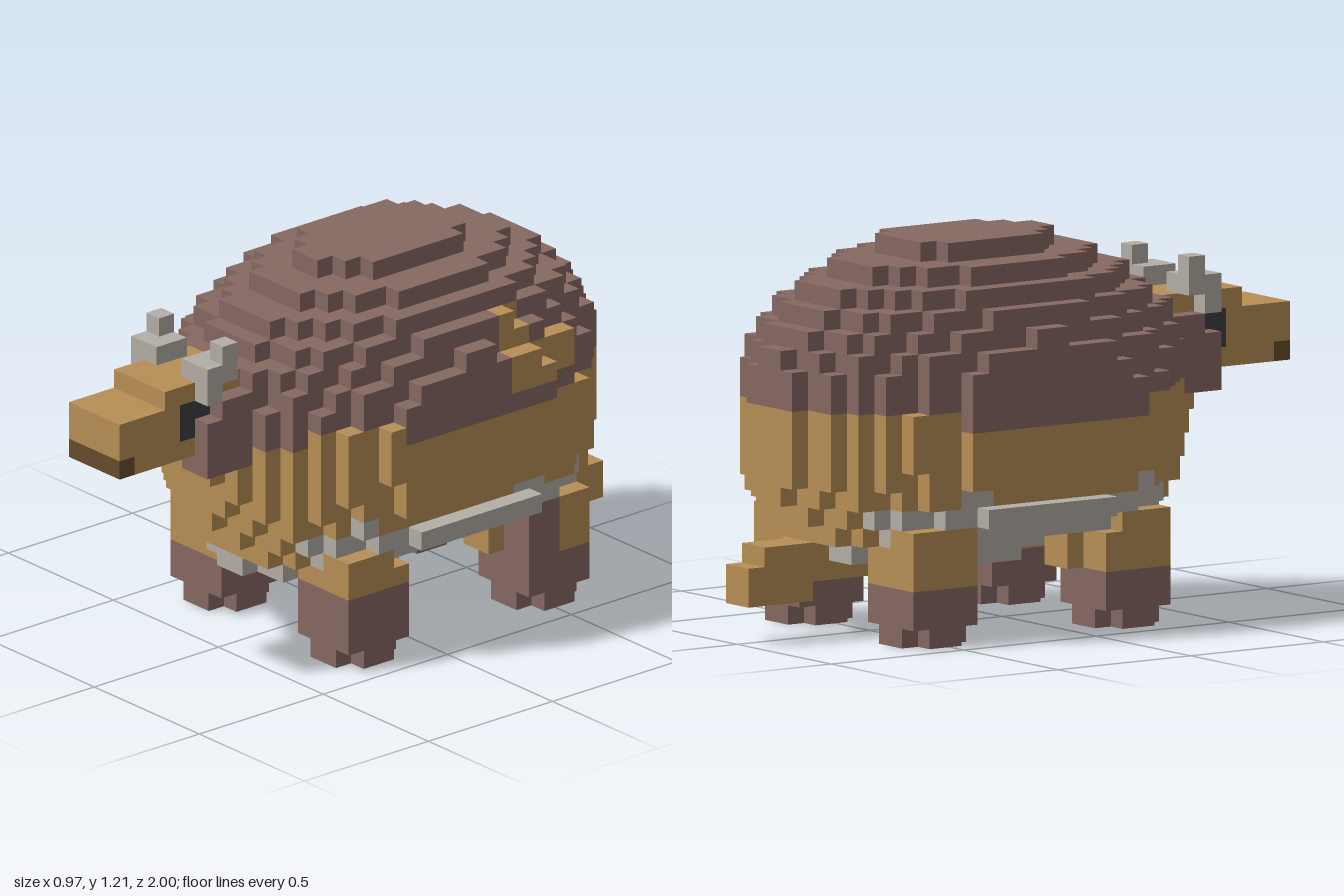
import * as THREE from 'three';

const U = 2 / 33; // edge length of one cube
const MAUVE = 0x866862, TAN = 0xb88f55, GREY = 0xb4aea7, DARK = 0x3f3c41, MOUTH = 0x664d2c;

// The six cube sides: normal n and two edge directions with u x v = n
const SIDES = [];
for (let a = 0; a < 3; a++) {
  for (const s of [1, -1]) {
    const n = [0, 0, 0], u = [0, 0, 0], v = [0, 0, 0];
    n[a] = s;
    u[(a + 1) % 3] = 1;
    v[(a + 2) % 3] = s;
    SIDES.push({ n, u, v });
  }
}

export function createModel() {
  const cells = new Map();
  const key = (x, y, z) => x + ',' + y + ',' + z;
  const put = (part, color, x, y, z) => cells.set(key(x, y, z), { part, color, p: [x, y, z] });

  // Fill a block of cubes; bounds are cube edges
  const block = (part, color, [x0, x1], [y0, y1], [z0, z1], keep = () => true) => {
    for (let x = x0 + 0.5; x < x1; x++)
      for (let y = y0 + 0.5; y < y1; y++)
        for (let z = z0 + 0.5; z < z1; z++)
          if (keep(x, y, z)) put(part, color, x, y, z);
  };
  // The same block on both sides
  const pair = (part, color, [x0, x1], ys, zs, keep) => {
    block(part + 'Left', color, [x0, x1], ys, zs, keep);
    block(part + 'Right', color, [-x1, -x0], ys, zs, keep);
  };

  // Legs: feet lose the corner cubes of their lowest layer
  for (const [name, z0, in0] of [['front', 1.5, 0.5], ['back', -10.5, -6.5]]) {
    const foot = (x, y, z) => y > 1 ||
      !(Math.abs(Math.abs(x) - 5) > 1 && Math.abs(z - z0 - 2) > 1);
    const hip = (x, y, z) => !(y > 5 && Math.abs(x) > 6 && z > 1.5 && z < 2.5);
    pair(name + 'Foot', MAUVE, [3, 7], [0, 3], [z0, z0 + 4], foot);
    pair(name + 'Leg', TAN, [3, 7], [3, 6], [z0, z0 + 4], hip);
    pair(name + 'Leg', TAN, [3, 5], [3, 5], [in0, in0 + 1]);
    pair(name + 'Leg', TAN, [2, 3], [3, 5], [z0 + 1, z0 + 3]);
  }
  block('frontFootLeft', MAUVE, [3, 7], [3, 4], [1.5, 5.5]);
  block('backFootLeft', MAUVE, [3, 7], [3, 4], [-8.5, -6.5]);
  block('backFootLeft', MAUVE, [5, 7], [4, 6], [-8.5, -6.5]);

  // Body: stepped ellipsoid, rounded in steps towards the belly
  const bodyColor = (x, row, z) => {
    const ax = Math.abs(x);
    const inRim = z > -12 && z < 7;
    const stud = (z > 3 && z < 5) || (z > -8 && z < -5);
    if (row === 4 || (row === 5 && ax > 4) || (row === 6 && ax > 4 && inRim) || (row === 7 && ax > 5 && stud)) {
      return ['bellyPlates', GREY];
    }
    const patch = x > 5 && z > -9.5 && z < -4.5 && (row === 13 || row === 14 || (row < 17 && row > 12 && z > -6.5));
    let limit = 12;
    if (x > 5 && z > 2) limit = 13;
    if (x < -7) limit = 11;
    return row < limit || patch ? ['lowerBody', TAN] : ['shell', MAUVE];
  };
  const caps = { 4: 3, 5: 6, 6: 7, 7: 7 }; // half widths of the belly layers
  for (let row = 4; row < 20; row++) {
    const dy = row > 11 ? row - 11 : (row - 11) * 0.75;
    for (let x = -7.5; x < 8; x++) {
      for (let z = -14; z <= 9; z++) {
        const ax = Math.abs(x);
        const r = (x / 8.5) ** 2 + (dy / 8.6) ** 2 + ((z + 2.5) / 12.3) ** 2;
        if (r > 1 || ax > (caps[row] ?? 8)) continue;
        // narrower tail end
        if ((ax > 7 && z < -7.5) || (ax > 6 && z < -9.5 && row > 11) || (ax > 2 && z < -13.5)) continue;
        put(...bodyColor(x, row, z), x, row + 0.5, z);
      }
    }
  }
  // Crest reaching forward on the topmost layer
  block('shell', MAUVE, [-2, 2], [19, 20], [0.5, 1.5]);
  block('shell', MAUVE, [-1, 1], [19, 20], [1.5, 2.5]);

  // Rails along the rim and the keel
  pair('sideRail', GREY, [7, 8], [6, 7], [-6.5, 1.5]);
  block('keel', GREY, [-1, 1], [3, 4], [-5.5, 0.5]);

  // Tail
  block('tail', TAN, [-1, 1], [3, 5], [-12.5, -8.5]);
  block('tail', TAN, [-1, 1], [2, 5], [-15.5, -12.5]);
  block('tail', TAN, [-1, 1], [2, 4], [-16.5, -15.5]);

  // Head: mauve cheeks open at the eyes, tan face and snout, dark mouth
  block('cheeks', MAUVE, [-3, 3], [11, 15], [7.5, 11.5], (x, y, z) => y < 14 || z < 10.5);
  block('cheeks', MAUVE, [-3, 3], [15, 16], [7.5, 8.5]);
  block('throat', TAN, [-1, 1], [11, 12], [8.5, 11.5]);
  block('throat', TAN, [-2, 2], [10, 11], [8.5, 10.5]);
  block('head', TAN, [-2, 2], [12, 16], [8.5, 13.5]);
  block('snout', TAN, [-2, 2], [12, 15], [13.5, 16.5]);
  block('mouth', MOUTH, [-2, 2], [12, 13], [15.5, 16.5]);
  pair('eye', DARK, [1, 2], [13, 15], [11.5, 12.5]);
  pair('eye', DARK, [1, 2], [14, 15], [10.5, 11.5]);

  // Ears
  pair('ear', GREY, [2, 3], [15, 17], [10.5, 11.5]);
  pair('ear', GREY, [1, 3], [16, 17], [9.5, 11.5]);
  pair('ear', GREY, [2, 3], [16, 18], [9.5, 10.5]);

  // Collect the exposed cube faces of every part
  const parts = new Map();
  for (const { part, color, p } of cells.values()) {
    const id = part + color;
    if (!parts.has(id)) parts.set(id, { part, color, pos: [], nor: [] });
    const { pos, nor } = parts.get(id);
    for (const { n, u, v } of SIDES) {
      if (cells.has(key(p[0] + n[0], p[1] + n[1], p[2] + n[2]))) continue;
      for (const [a, b] of [[-1, -1], [1, -1], [1, 1], [-1, -1], [1, 1], [-1, 1]]) {
        for (let i = 0; i < 3; i++) pos.push((p[i] + (n[i] + a * u[i] + b * v[i]) / 2) * U);
        nor.push(...n);
      }
    }
  }

  const group = new THREE.Group();
  group.name = 'blockAnimal';
  for (const { part, color, pos, nor } of parts.values()) {
    if (!pos.length) continue;
    const geometry = new THREE.BufferGeometry();
    geometry.setAttribute('position', new THREE.Float32BufferAttribute(pos, 3));
    geometry.setAttribute('normal', new THREE.Float32BufferAttribute(nor, 3));
    const mesh = new THREE.Mesh(geometry, new THREE.MeshStandardMaterial({ color }));
    mesh.name = part;
    group.add(mesh);
  }
  return group;
}
